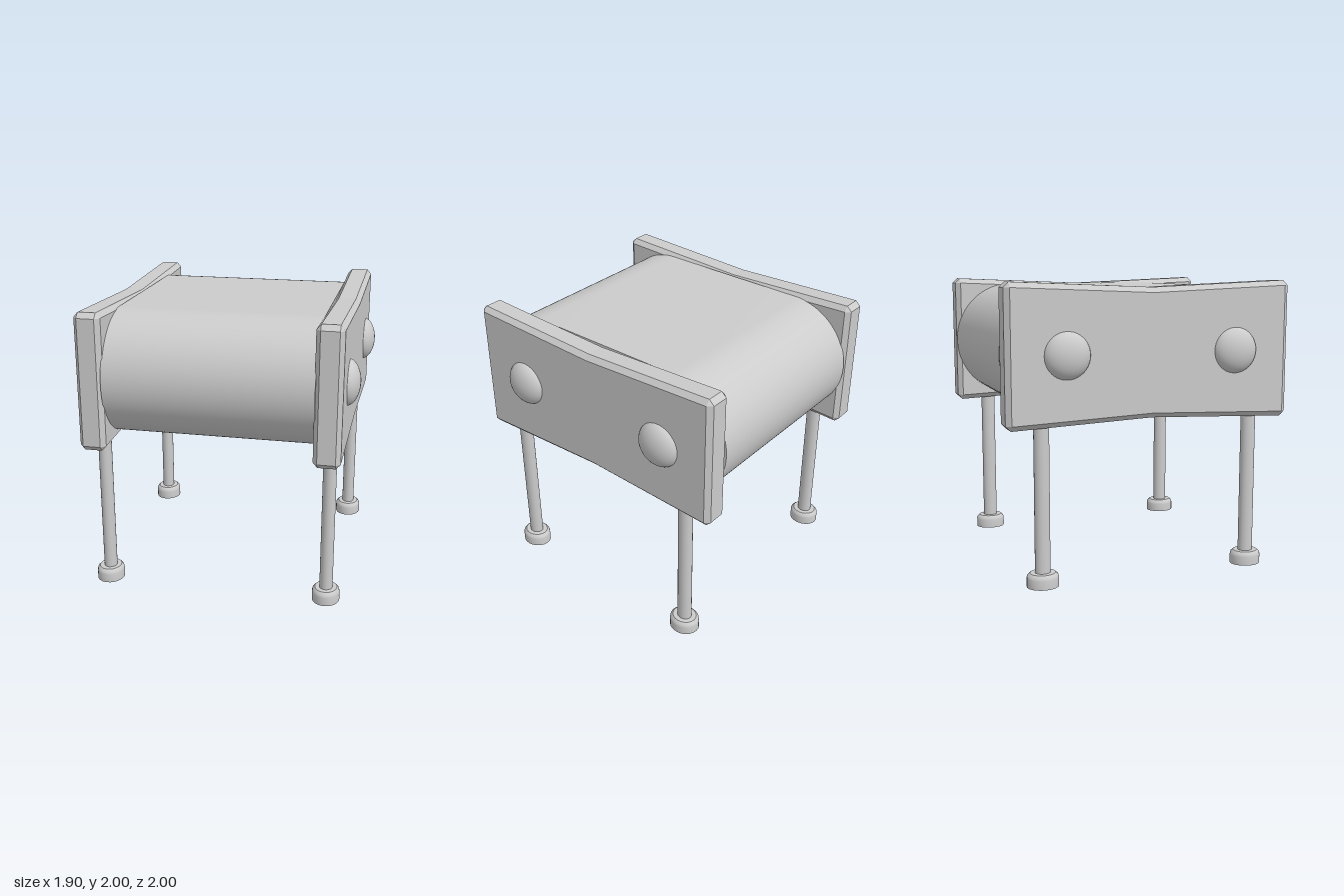
import * as THREE from 'three';
import { toCreasedNormals } from 'three/addons/utils/BufferGeometryUtils.js';

const material = new THREE.MeshStandardMaterial({ color: 0xcccccc });

function add(parent, name, geometry, x = 0, y = 0, z = 0) {
  const mesh = new THREE.Mesh(geometry, material);
  mesh.name = name;
  mesh.position.set(x, y, z);
  parent.add(mesh);
  return mesh;
}

// Side panel: chamfered slab with a slightly pinched waist, thickness along x
function panelGeometry() {
  const b = 0.035;
  // loops of [z, y], counter-clockwise seen with z right and y up
  const rim = [[1 - b, 2], [0, 1.96], [b - 1, 2], [-1, 2 - b], [-1, 1.06 + b],
    [b - 1, 1.06], [0, 1.1], [1 - b, 1.06], [1, 1.06 + b], [1, 2 - b]];
  const T = 2 - b, B = 1.06 + b, e = 1 - b;
  const face = [[e, T], [0, 1.925], [-e, T], [-e, T], [-e, B],
    [-e, B], [0, 1.133], [e, B], [e, B], [e, T]];
  const sections = [[-0.09, face], [-0.06, rim], [0.06, rim], [0.09, face]]
    .map(([x, loop]) => loop.map(([z, y]) => new THREE.Vector3(x, y, z)));
  const points = [];
  const n = rim.length;
  for (let i = 0; i < n; i++) {
    const j = (i + 1) % n;
    for (let s = 0; s < 3; s++) {
      const [p, q] = [sections[s], sections[s + 1]];
      points.push(p[i], q[j], q[i], p[i], p[j], q[j]);
    }
    points.push(new THREE.Vector3(-0.09, 1.53, 0), sections[0][j], sections[0][i]);
    points.push(new THREE.Vector3(0.09, 1.53, 0), sections[3][i], sections[3][j]);
  }
  // drop collapsed triangles and keep every face winding outward
  const solid = [];
  const centre = new THREE.Vector3(0, 1.53, 0);
  const tri = new THREE.Triangle(), normal = new THREE.Vector3(), mid = new THREE.Vector3();
  for (let i = 0; i < points.length; i += 3) {
    const [p, q, r] = points.slice(i, i + 3);
    tri.set(p, q, r);
    if (tri.getArea() < 1e-7) continue;
    tri.getNormal(normal);
    tri.getMidpoint(mid).sub(centre);
    solid.push(...(normal.dot(mid) > 0 ? [p, q, r] : [p, r, q]));
  }
  const geometry = new THREE.BufferGeometry().setFromPoints(solid);
  geometry.computeVertexNormals();
  return geometry;
}

// Drum body: stadium cross-section running across the width
function bodyGeometry() {
  const r = 0.428, c = 1 - r, width = 1.4;
  const shape = new THREE.Shape();
  shape.absarc(c, 0, r, -Math.PI / 2, Math.PI / 2, false);
  shape.absarc(-c, 0, r, Math.PI / 2, Math.PI * 1.5, false);
  const geometry = new THREE.ExtrudeGeometry(shape, {
    depth: width, bevelEnabled: false, curveSegments: 28,
  });
  geometry.translate(0, 0, -width / 2).rotateY(Math.PI / 2);
  return toCreasedNormals(geometry, 0.5);
}

// Foot: short puck with a rounded upper edge
function footGeometry() {
  const profile = [[0, 0], [0.109, 0], [0.109, 0.06], [0.105, 0.078], [0.087, 0.094], [0, 0.096]]
    .map(([x, y]) => new THREE.Vector2(x, y));
  return toCreasedNormals(new THREE.LatheGeometry(profile, 20), 0.7).scale(0.88, 1, 1);
}

export function createModel() {
  const model = new THREE.Group();
  add(model, 'body', bodyGeometry(), 0, 1.532, 0);

  const panel = panelGeometry();
  const foot = footGeometry();
  const leg = new THREE.CylinderGeometry(0.052, 0.052, 1.1, 20).scale(0.88, 1, 1);
  const dome = new THREE.SphereGeometry(0.158, 32, 20).scale(0.6, 1, 1);

  for (const [side, sx] of [['left', 1], ['right', -1]]) {
    add(model, side + 'Panel', panel, sx * 0.783);
    for (const [end, sz] of [['Front', 1], ['Back', -1]]) {
      add(model, side + end + 'Boss', dome, sx * 0.855, 1.532, sz * 0.595);
      const support = new THREE.Group();
      support.name = side + end + 'Leg';
      support.position.set(sx * 0.783, 0, sz * 0.75);
      add(support, 'post', leg, 0, 0.62, 0);
      add(support, 'foot', foot);
      model.add(support);
    }
  }
  return model;
}
